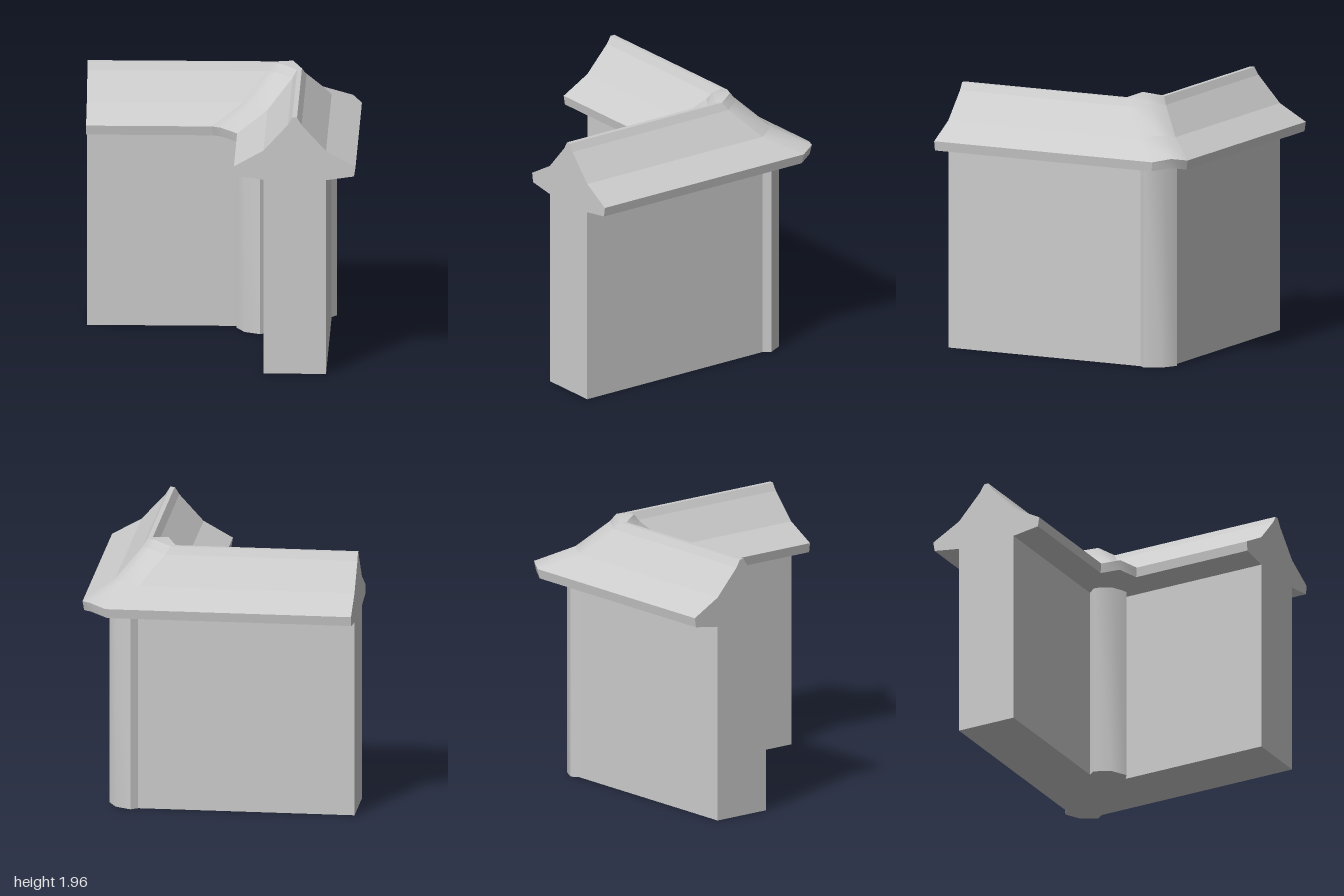
import * as THREE from 'three';

const CX = 0.453, CZ = -0.458; // centre of the corner
const HALF = 0.095;            // half width of the corner piece, along x and z
const WALL = 0.228;

// Half of the roof outline, from wall top to ridge: [distance from ridge line, height]
const roofHalf = [[WALL, 1.46], [0.432, 1.49], [0.443, 1.56], [WALL, 1.68], [0.05, 1.875], [0.017, 1.93]];
const mirrored = (half) => [...half, ...half.slice().reverse().map(([s, y]) => [-s, y])];
const roofProfile = mirrored(roofHalf);
const wingProfile = mirrored([[WALL, 0], ...roofHalf]);

// Section across the corner diagonal: t runs along the sweep, positive s is the outer side
const diagonal = (profile, t, out = 0, up = 0) => profile.map(([s, y]) => {
  const d = s + Math.sign(s) * out;
  return [CX + d + t, y + up, CZ - d + t];
});

// Joins closed sections in order; smooth along the sweep, creased along the profile
function sweep(sections, profile, capStart, capEnd) {
  const pos = [], idx = [];
  const n = profile.length, m = sections.length;
  for (let i = 0; i < n; i++) {
    const base = pos.length / 3;
    for (const sec of sections) pos.push(...sec[i], ...sec[(i + 1) % n]);
    for (let k = 0; k < m - 1; k++) {
      const a = base + 2 * k;
      idx.push(a, a + 1, a + 3, a, a + 3, a + 2);
    }
  }
  const cap = (sec, flip) => {
    const base = pos.length / 3;
    sec.forEach((p) => pos.push(...p));
    const tris = THREE.ShapeUtils.triangulateShape(profile.map(([s, y]) => new THREE.Vector2(s, y)), []);
    for (const [a, b, c] of tris) idx.push(base + a, base + (flip ? c : b), base + (flip ? b : c));
  };
  if (capStart) cap(sections[0], true);
  if (capEnd) cap(sections[m - 1], false);
  const g = new THREE.BufferGeometry();
  g.setAttribute('position', new THREE.Float32BufferAttribute(pos, 3));
  g.setIndex(idx);
  g.computeVertexNormals();
  return g;
}

export function createModel() {
  const group = new THREE.Group();
  const material = new THREE.MeshStandardMaterial({ color: 0xcccccc });
  const add = (name, geometry, parent = group) => {
    const mesh = new THREE.Mesh(geometry, material);
    mesh.name = name;
    parent.add(mesh);
  };

  // Two roofed walls, each cut at an angle where it meets the corner piece
  const mitreA = diagonal(wingProfile, -HALF);
  const mitreB = diagonal(wingProfile, HALF);
  const endA = mitreA.map(([, y, z]) => [-1, y, z]);
  const endB = mitreB.map(([x, y]) => [x, y, 1]);
  add('rightWall', sweep([endA, mitreA], wingProfile, true, true));
  add('frontWall', sweep([mitreB, endB], wingProfile, true, true));

  // Corner roof, bulging along the diagonal
  add('cornerRoof', sweep([
    diagonal(roofProfile, -HALF),
    diagonal(roofProfile, 0, 0.028, 0.025),
    diagonal(roofProfile, HALF),
  ], roofProfile));

  // Corner post: narrow flat cheeks and rounded inner and outer faces
  const post = new THREE.Group();
  post.name = 'cornerPost';
  group.add(post);
  const postProfile = mirrored([[WALL, 0], [WALL, 1.475]]);
  const [p0, p1, p2, p3, p4] = [[-HALF, 0], [-0.088, 0.045], [0, 0.073], [0.088, 0.045], [HALF, 0]]
    .map(([t, out]) => diagonal(postProfile, t, out));
  add('postCheekRight', sweep([p0, p1], postProfile), post);
  add('postFace', sweep([p1, p2, p3], postProfile), post);
  add('postCheekFront', sweep([p3, p4], postProfile), post);

  return group;
}
